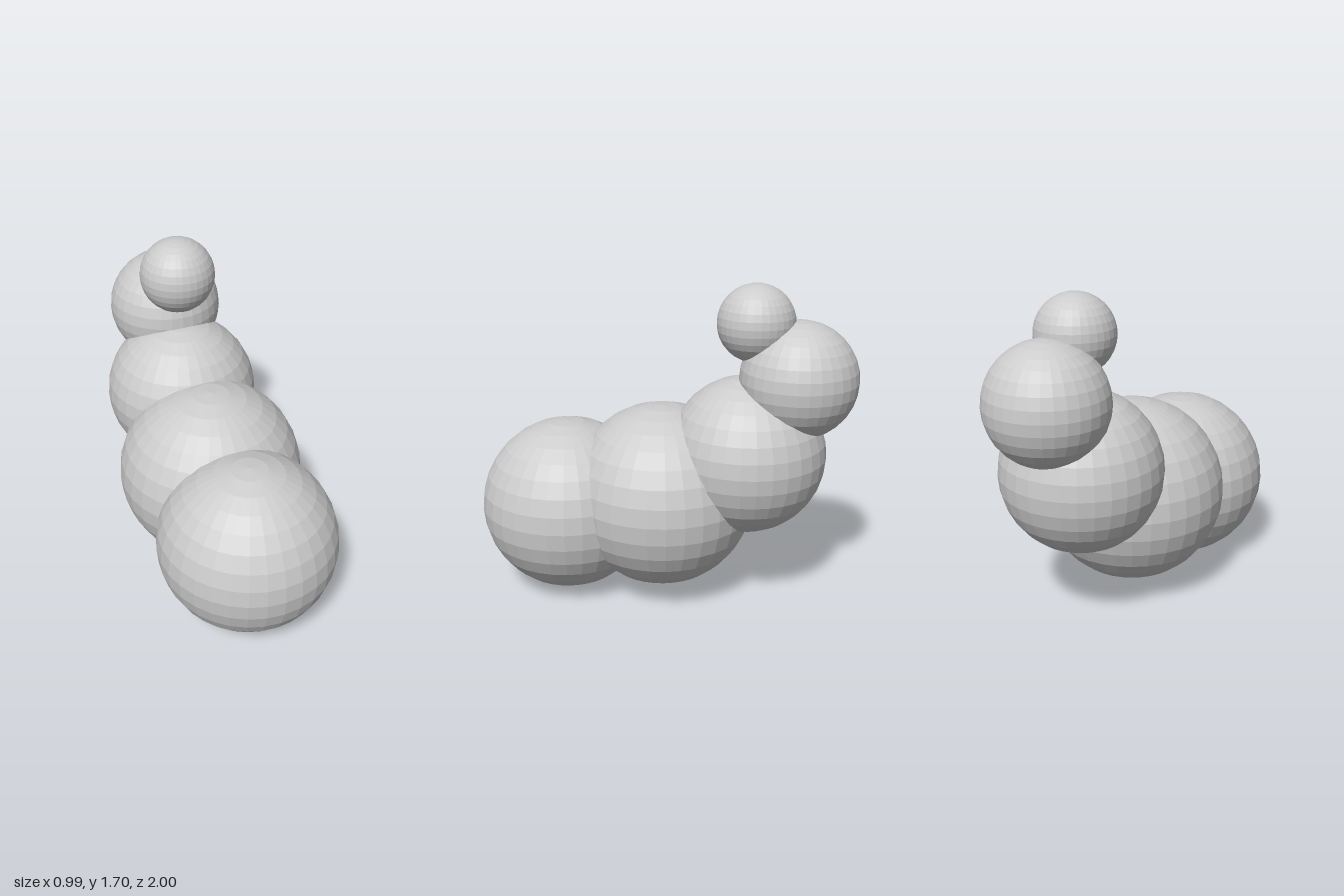
import * as THREE from 'three';

// Chain of overlapping spheres: [name, radius, y, z]
const SEGMENTS = [
  ['frontSegment', 0.47, 0.475, 0.53],
  ['middleSegment', 0.495, 0.56, 0.01],
  ['rearSegment', 0.415, 0.81, -0.44],
  ['upperSegment', 0.305, 1.22, -0.695],
  ['tipSegment', 0.2, 1.505, -0.47],
];

export function createModel() {
  const model = new THREE.Group();
  model.name = 'segmentedBody';
  const material = new THREE.MeshStandardMaterial({ color: 0xcccccc, flatShading: true });

  for (const [name, radius, y, z] of SEGMENTS) {
    const ball = new THREE.Mesh(new THREE.SphereGeometry(radius, 32, 16), material);
    ball.name = name;
    ball.position.set(0, y, z);
    model.add(ball);
  }
  return model;
}
